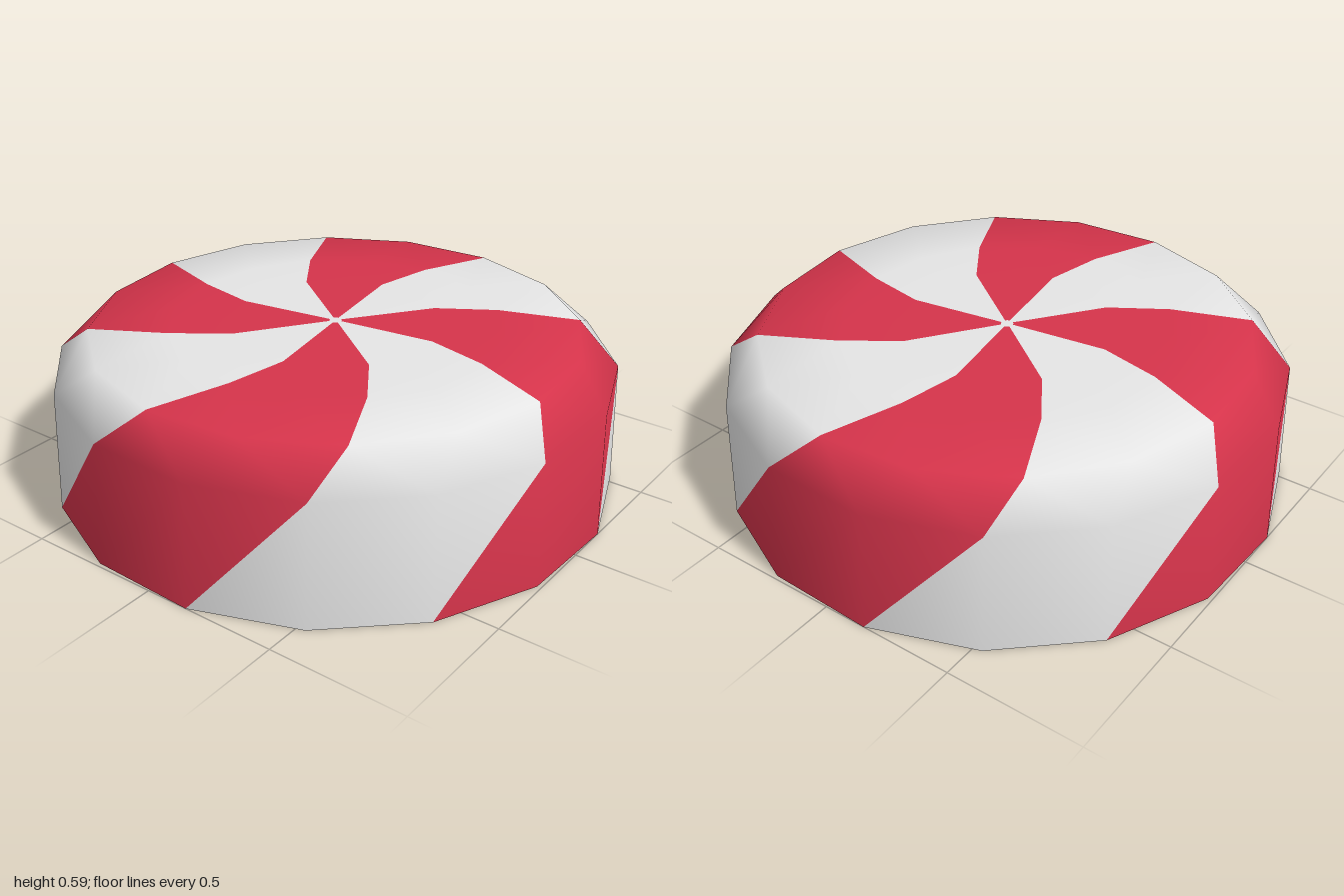
import * as THREE from 'three';

const SIDES = 16;
const red = new THREE.MeshStandardMaterial({ color: 0xd6344b });
red.name = 'candyRed';
const white = new THREE.MeshStandardMaterial({ color: 0xe6e6e6 });
white.name = 'sugarWhite';

// Joins twisted rings [radius, height, start angle in degrees] into a striped skin.
// Two sides of every four are red; a ring of radius 0 closes the skin at a point.
function swirlSkin(name, rings) {
  const positions = [];
  const faces = [[], []]; // red, white
  for (const [r, y, deg] of rings) {
    for (let k = 0; k < SIDES; k++) {
      const a = THREE.MathUtils.degToRad(deg + (k * 360) / SIDES);
      positions.push(r * Math.cos(a), y, r * Math.sin(a));
    }
  }
  for (let i = 0; i < rings.length - 1; i++) {
    const fromPoint = rings[i][0] === 0;
    const toPoint = rings[i + 1][0] === 0;
    for (let k = 0; k < SIDES; k++) {
      const n = (k + 1) % SIDES;
      const b0 = i * SIDES + k, b1 = i * SIDES + n;
      const t0 = b0 + SIDES, t1 = b1 + SIDES;
      const list = faces[k % 4 < 2 && !fromPoint && !toPoint ? 0 : 1];
      if (!fromPoint) list.push(b1, b0, t1);
      if (!toPoint) list.push(b0, t0, t1);
    }
  }
  const geometry = new THREE.BufferGeometry();
  geometry.setAttribute('position', new THREE.Float32BufferAttribute(positions, 3));
  geometry.setIndex([...faces[0], ...faces[1]]);
  geometry.addGroup(0, faces[0].length, 0);
  geometry.addGroup(faces[0].length, faces[1].length, 1);
  geometry.computeVertexNormals();
  const mesh = new THREE.Mesh(geometry, [red, white]);
  mesh.name = name;
  return mesh;
}

export function createModel() {
  const group = new THREE.Group();
  group.name = 'peppermintCandy';

  // Rounded body: leaning sides, soft shoulder and swirled top
  group.add(swirlSkin('candyBody', [
    [1.013, 0, 80.9],
    [1.0, 0.45, 58],
    [0.873, 0.573, 50.7],
    [0.593, 0.585, 43.5],
    [0.373, 0.588, 36],
    [0.022, 0.59, 34],
    [0, 0.59, 34],
  ]));

  // Flat underside with straight stripes
  group.add(swirlSkin('candyBase', [
    [0, 0, 80.9],
    [0.022, 0, 80.9],
    [1.013, 0, 80.9],
  ]));

  return group;
}
